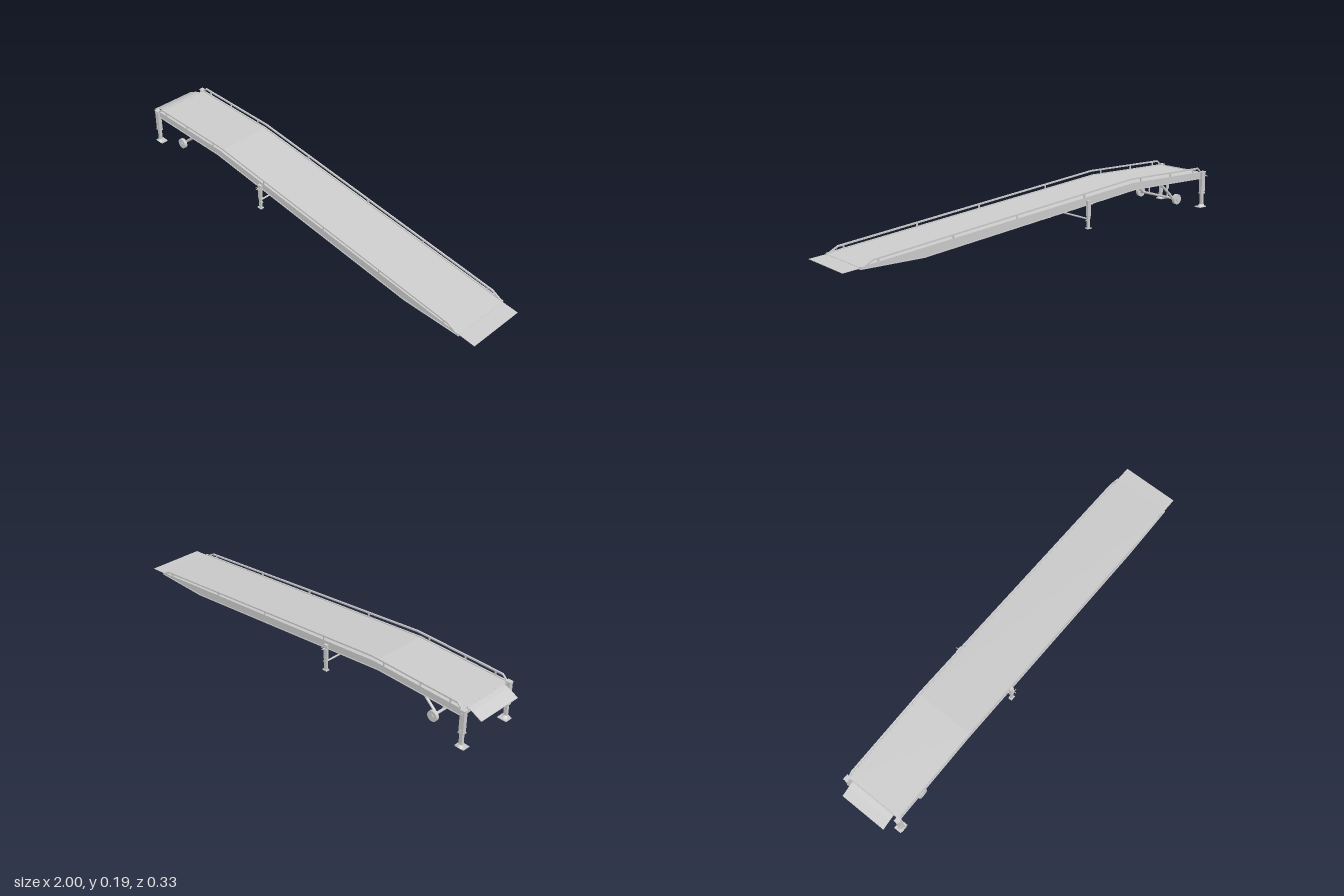
import * as THREE from 'three';

const mat = new THREE.MeshStandardMaterial({ color: 0xcccccc, side: THREE.DoubleSide });

// Centre lines in x, y along the length
const deckLine = [[-0.93, 0.17], [-0.48, 0.17], [0.925, 0.017]];
const soffit = [[-0.93, 0.139], [-0.5, 0.139], [0.64, 0.009], [0.925, 0.009]];
const railLine = [[-0.928, 0.172], [-0.905, 0.195], [-0.47, 0.195], [0.87, 0.043], [0.92, 0.016]];

function heightAt(line, x) {
  for (let i = 1; i < line.length; i++) {
    const [x0, y0] = line[i - 1], [x1, y1] = line[i];
    if (x <= x1) return y0 + (y1 - y0) * (x - x0) / (x1 - x0);
  }
  return line[line.length - 1][1];
}

export function createModel() {
  const root = new THREE.Group();

  function add(name, geometry, parent = root) {
    const mesh = new THREE.Mesh(geometry, mat);
    mesh.name = name;
    parent.add(mesh);
    return mesh;
  }
  function box(name, w, h, d, x, y, z, parent) {
    const m = add(name, new THREE.BoxGeometry(w, h, d), parent);
    m.position.set(x, y, z);
    return m;
  }
  // Side profile pushed out between two z planes
  function profile(name, points, z0, z1, parent) {
    const shape = new THREE.Shape(points.map(p => new THREE.Vector2(...p)));
    const lo = Math.min(z0, z1);
    const g = new THREE.ExtrudeGeometry(shape, { depth: Math.abs(z1 - z0), bevelEnabled: false });
    return add(name, g.translate(0, 0, lo), parent);
  }
  // Band of constant height hanging below a line
  function band(name, line, t, z0, z1, parent) {
    const under = line.map(([x, y]) => [x, y - t]).reverse();
    return profile(name, [...line, ...under], z0, z1, parent);
  }
  // Round bar between two points
  function rod(name, a, b, r, parent, sides = 12) {
    const p = new THREE.Vector3(...a), q = new THREE.Vector3(...b);
    const m = add(name, new THREE.CylinderGeometry(r, r, p.distanceTo(q), sides), parent);
    m.position.copy(p).lerp(q, 0.5);
    m.quaternion.setFromUnitVectors(new THREE.Vector3(0, 1, 0), q.sub(p).normalize());
    return m;
  }

  // Deck with a loading lip at each end
  band('deck', deckLine, 0.004, -0.132, 0.132);
  band('upperLip', [[-1, 0.142], [-0.955, 0.164], [-0.925, 0.172]], 0.003, -0.11, 0.11);
  band('lowerLip', [[0.92, 0.016], [1, 0.009]], 0.002, -0.133, 0.133);
  box('upperEndBeam', 0.006, 0.03, 0.264, -0.927, 0.154, 0);
  box('lowerEndBeam', 0.008, 0.007, 0.264, 0.92, 0.0125, 0);
  rod('lipHinge', [-0.93, 0.17, -0.11], [-0.93, 0.17, 0.11], 0.003);

  for (const s of [1, -1]) {
    const side = new THREE.Group();
    side.name = s > 0 ? 'frontSide' : 'backSide';
    root.add(side);

    // Channel stringer: web, lower flange and low curb
    profile('stringerWeb', [...deckLine, ...[...soffit].reverse()], s * 0.13, s * 0.134, side);
    band('lowerFlange', soffit.map(([x, y]) => [x, y + 0.003]), 0.003, s * 0.122, s * 0.137, side);
    band('curb', deckLine.map(([x, y]) => [x, y + 0.003]), 0.005, s * 0.13, s * 0.137, side);

    // Guard rail and posts
    band('guardRail', railLine, 0.007, s * 0.131, s * 0.138, side);
    for (const x of [-0.87, -0.72, -0.53, -0.19, 0.18, 0.5, 0.845]) {
      const y0 = heightAt(deckLine, x), y1 = heightAt(railLine, x) - 0.004;
      box('railPost', 0.006, y1 - y0, 0.005, x, (y0 + y1) / 2, s * 0.1345, side);
    }

    // Telescopic support leg at the high end
    const leg = new THREE.Group();
    leg.name = 'endLeg';
    side.add(leg);
    const lx = -0.936, lz = s * 0.136;
    box('legSleeve', 0.022, 0.105, 0.018, lx, 0.12, lz, leg);
    box('legInner', 0.015, 0.07, 0.013, lx, 0.04, lz, leg);
    box('legCollar', 0.025, 0.006, 0.02, lx, 0.07, lz, leg);
    box('legCap', 0.026, 0.004, 0.021, lx, 0.173, lz, leg);
    const foot = add('footFlare', new THREE.CylinderGeometry(0.011, 0.02, 0.012, 4), leg);
    foot.geometry.rotateY(Math.PI / 4);
    foot.position.set(lx, 0.01, lz);
    box('footPlate', 0.044, 0.004, 0.035, lx, 0.003, s * 0.13, leg);
    rod('legPin', [lx, 0.085, s * 0.123], [lx, 0.085, s * 0.15], 0.003, leg);
    rod('crankShaft', [lx, 0.16, s * 0.136], [lx, 0.16, s * 0.15], 0.003, leg);

    // Middle prop with locking pin
    const prop = new THREE.Group();
    prop.name = 'middleLeg';
    side.add(prop);
    const mx = -0.21, mz = s * 0.14;
    box('propSleeve', 0.018, 0.07, 0.012, mx, 0.093, mz, prop);
    box('propInner', 0.013, 0.065, 0.009, mx, 0.036, mz, prop);
    box('propFoot', 0.024, 0.004, 0.018, mx, 0.004, mz, prop);
    rod('lockPin', [mx, 0.114, s * 0.13], [mx, 0.114, s * 0.165], 0.0018, prop);
    rod('lockPinHandle', [mx - 0.015, 0.114, s * 0.153], [mx + 0.015, 0.114, s * 0.153], 0.0015, prop);
    rod('spareePin'.replace('ee', 'e'), [mx + 0.006, 0.106, s * 0.13], [mx + 0.006, 0.106, s * 0.152], 0.0015, prop);
    rod('sidePin', [mx, 0.04, mz], [mx + 0.016, 0.04, mz], 0.003, prop);

    // Transport wheel with its arm and jack
    const gear = new THREE.Group();
    gear.name = 'wheelGear';
    side.add(gear);
    const wx = -0.78, wy = 0.057, wz = s * 0.12;
    rod('wheel', [wx, wy, wz - 0.007], [wx, wy, wz + 0.007], 0.024, gear, 24);
    rod('wheelHub', [wx, wy, wz - 0.01], [wx, wy, wz + 0.01], 0.009, gear, 16);
    rod('wheelArm', [wx, wy, s * 0.1], [-0.685, 0.142, s * 0.1], 0.006, gear);
    rod('jackRod', [wx, wy, s * 0.06], [wx, 0.12, s * 0.06], 0.004, gear);
    rod('jackBody', [wx, 0.1, s * 0.06], [wx, 0.166, s * 0.06], 0.007, gear);
    box('armBracket', 0.022, 0.03, 0.006, -0.685, 0.152, s * 0.1, gear);
  }

  // Cross bars linking the two sides
  rod('wheelAxle', [-0.78, 0.057, -0.12], [-0.78, 0.057, 0.12], 0.006);
  rod('armPivot', [-0.685, 0.142, -0.13], [-0.685, 0.142, 0.13], 0.005);
  rod('middleCrossBar', [-0.21, 0.045, -0.138], [-0.21, 0.045, 0.138], 0.004);

  return root;
}
